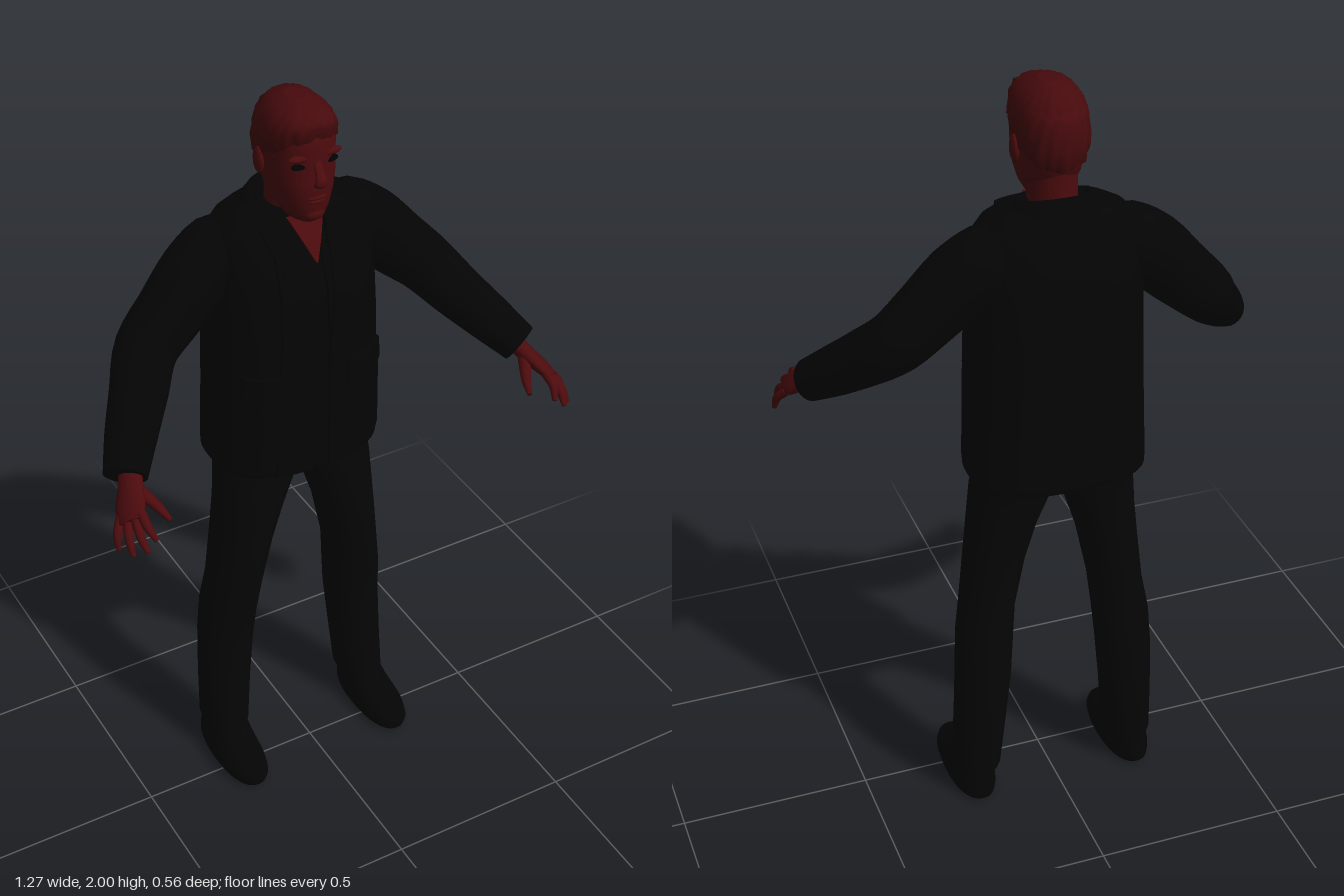
import * as THREE from 'three';

const paint = (name, color) => {
  const m = new THREE.MeshStandardMaterial({ color });
  m.name = name;
  return m;
};
const V = (p) => new THREE.Vector3(...p);
const lerp = THREE.MathUtils.lerp;

// Skin a list of equal-length closed rings, capping both ends.
function loft(rings) {
  const n = rings[0].length, pos = [], idx = [];
  rings.forEach((r) => r.forEach((p) => pos.push(p.x, p.y, p.z)));
  for (let i = 0; i < rings.length - 1; i++) {
    for (let j = 0; j < n; j++) {
      const a = i * n + j, b = i * n + (j + 1) % n;
      idx.push(a, a + n, b, b, a + n, b + n);
    }
  }
  [rings[0], rings[rings.length - 1]].forEach((r, end) => {
    const c = r.reduce((s, p) => s.add(p), new THREE.Vector3()).divideScalar(n);
    const base = pos.length / 3;
    r.forEach((p) => pos.push(p.x, p.y, p.z));
    pos.push(c.x, c.y, c.z);
    for (let j = 0; j < n; j++) {
      const a = base + j, b = base + (j + 1) % n;
      idx.push(base + n, end ? b : a, end ? a : b);
    }
  });
  const g = new THREE.BufferGeometry();
  g.setAttribute('position', new THREE.Float32BufferAttribute(pos, 3));
  g.setIndex(idx);
  g.computeVertexNormals();
  return g;
}

// Stacked level rings from rows [y, centre x, half width, front z, back z].
function stack(rows, power = 2.3, seg = 40, warp = null) {
  return loft(rows.map(([y, cx, rx, zf, zb]) => Array.from({ length: seg }, (_, j) => {
    const a = (j / seg) * Math.PI * 2, c = Math.cos(a), s = Math.sin(a);
    const p = V([cx + rx * Math.sign(c) * Math.abs(c) ** (2 / power), y,
      (zf + zb) / 2 + (zf - zb) / 2 * Math.sign(s) * Math.abs(s) ** (2 / power)]);
    if (warp) warp(p, a);
    return p;
  })));
}

// Tube along points with [half width along hint, half thickness] at each point.
function limb(points, sizes, hint, steps = 20, seg = 24) {
  const curve = new THREE.CatmullRomCurve3(points.map(V));
  const rings = [];
  for (let i = 0; i <= steps; i++) {
    const t = i / steps, f = t * (sizes.length - 1), k = Math.min(Math.floor(f), sizes.length - 2);
    const w = lerp(sizes[k][0], sizes[k + 1][0], f - k), h = lerp(sizes[k][1], sizes[k + 1][1], f - k);
    const c = curve.getPoint(t), d = curve.getTangent(t);
    const u = V(hint).addScaledVector(d, -V(hint).dot(d)).normalize(), v = u.clone().cross(d);
    rings.push(Array.from({ length: seg }, (_, j) => {
      const a = (j / seg) * Math.PI * 2;
      return c.clone().addScaledVector(u, w * Math.cos(a)).addScaledVector(v, h * Math.sin(a));
    }));
  }
  return loft(rings);
}

function mirrored(g) {
  const m = g.clone().scale(-1, 1, 1), ix = m.index.array;
  for (let i = 0; i < ix.length; i += 3) [ix[i], ix[i + 1]] = [ix[i + 1], ix[i]];
  m.computeVertexNormals();
  return m;
}

const ball = (x, y, z, a, b, c) => new THREE.SphereGeometry(1, 20, 14).scale(a, b, c).translate(x, y, z);

// Jacket body profile
const BODY = [
  [1.0, 0, 0.226, 0.05, -0.279], [1.02, 0, 0.227, 0.054, -0.279], [1.2, 0, 0.221, 0.058, -0.275],
  [1.4, 0, 0.214, 0.06, -0.278], [1.53, 0, 0.21, 0.05, -0.276], [1.6, 0, 0.206, 0.022, -0.257],
  [1.65, 0, 0.196, -0.002, -0.237], [1.68, 0, 0.178, -0.02, -0.222], [1.7, 0, 0.14, -0.032, -0.21],
  [1.715, 0, 0.09, -0.05, -0.19],
];
const BODY_POWER = 2.7;

function bodyFront(x, y) {
  let k = 0;
  while (k < BODY.length - 2 && BODY[k + 1][0] < y) k++;
  const t = THREE.MathUtils.clamp((y - BODY[k][0]) / (BODY[k + 1][0] - BODY[k][0]), 0, 1);
  const [, , rx, zf, zb] = BODY[k].map((v, i) => lerp(v, BODY[k + 1][i], t));
  return (zf + zb) / 2 + (zf - zb) / 2 * Math.max(0, 1 - Math.abs(x / rx) ** BODY_POWER) ** (1 / BODY_POWER);
}

// Cloth panel following the jacket front; edges given at bottom and top.
function panel(y0, y1, [l0, r0], [l1, r1], thick) {
  const g = new THREE.BoxGeometry(1, 1, thick * 2, 8, 14, 1), p = g.attributes.position;
  for (let i = 0; i < p.count; i++) {
    const t = p.getY(i) + 0.5, y = lerp(y0, y1, t);
    const x = lerp(lerp(l0, l1, t), lerp(r0, r1, t), p.getX(i) + 0.5);
    p.setXYZ(i, x, y, bodyFront(x, y) + p.getZ(i));
  }
  g.computeVertexNormals();
  return g;
}

export function createModel() {
  const skin = paint('skin', 0x4c0b0d), hairMat = paint('hair', 0x460a0c);
  const cloth = paint('jacket cloth', 0x040404), trouser = paint('trouser cloth', 0x050505);
  const shoeMat = paint('shoe leather', 0x040404), dark = paint('eye black', 0x030202);
  const model = new THREE.Group();
  const add = (name, g, m) => {
    const mesh = new THREE.Mesh(g, m);
    mesh.name = name;
    model.add(mesh);
  };
  const pair = (name, g, m) => {
    add('left ' + name, g, m);
    add('right ' + name, mirrored(g), m);
  };

  // Head and face
  add('head', stack([
    [1.7, 0, 0.026, 0.012, -0.07], [1.712, 0, 0.045, 0.028, -0.1], [1.74, 0, 0.062, 0.036, -0.135],
    [1.78, 0, 0.076, 0.041, -0.16], [1.82, 0, 0.083, 0.043, -0.174], [1.86, 0, 0.086, 0.038, -0.184],
    [1.9, 0, 0.087, 0.042, -0.188], [1.94, 0, 0.083, 0.035, -0.183], [1.97, 0, 0.066, 0.012, -0.158],
    [1.985, 0, 0.04, -0.02, -0.12],
  ], 2.15), skin);
  add('neck', stack([
    [1.6, 0, 0.08, -0.03, -0.175], [1.67, 0, 0.066, -0.036, -0.168],
    [1.72, 0, 0.06, -0.036, -0.163], [1.8, 0, 0.06, -0.03, -0.165],
  ], 2), skin);
  add('nose', limb([[0, 1.872, 0.034], [0, 1.845, 0.048], [0, 1.822, 0.056], [0, 1.81, 0.038]],
    [[0.01, 0.005], [0.012, 0.008], [0.017, 0.01], [0.012, 0.006]], [1, 0, 0], 12, 14), skin);
  add('upper lip', ball(0, 1.778, 0.036, 0.026, 0.006, 0.009), skin);
  add('lower lip', ball(0, 1.767, 0.034, 0.022, 0.007, 0.009), skin);
  add('chin', ball(0, 1.73, 0.02, 0.028, 0.02, 0.018), skin);
  pair('brow', ball(0.036, 1.884, 0.024, 0.034, 0.01, 0.013), skin);
  pair('eye', ball(0.038, 1.863, 0.023, 0.024, 0.009, 0.01), dark);
  pair('ear', ball(0.088, 1.842, -0.085, 0.011, 0.034, 0.021), skin);

  // Hair: short curly cap blending into the nape, higher at the brow
  add('hair', stack([
    [1.865, 0, 0.076, 0.03, -0.168], [1.885, 0, 0.088, 0.041, -0.187], [1.915, 0, 0.09, 0.043, -0.193],
    [1.935, 0, 0.087, 0.043, -0.192], [1.955, 0, 0.081, 0.036, -0.185], [1.972, 0, 0.069, 0.02, -0.17],
    [1.988, 0, 0.05, -0.005, -0.14], [1.997, 0, 0.022, -0.04, -0.1],
  ], 2.2, 80, (p, a) => {
    const k = THREE.MathUtils.clamp((1.99 - p.y) / 0.1, 0, 1);
    const wave = 1 + 0.018 * Math.sin(a * 11 + p.y * 160) + 0.018 * Math.sin(a * 19 - p.y * 230);
    p.x *= wave;
    p.z = -0.07 + (p.z + 0.07) * wave;
    p.y += k * (p.z + 0.03) * (p.z < -0.03 ? 0.45 : 0.75) + 0.003 * Math.sin(a * 9) * k;
  }), hairMat);

  // Jacket body with a turned-up hem, collar, lapels, front flaps and pockets
  add('jacket body', stack([
    [1.07, 0, 0.21, 0.034, -0.262], [1.0, 0, 0.219, 0.043, -0.271], ...BODY,
  ], BODY_POWER, 56), cloth);
  add('collar', stack([
    [1.655, 0, 0.165, 0.0, -0.225], [1.69, 0, 0.132, -0.005, -0.212], [1.72, 0, 0.106, -0.012, -0.2],
    [1.735, 0, 0.094, -0.018, -0.188], [1.732, 0, 0.08, -0.024, -0.176], [1.68, 0, 0.072, -0.03, -0.165],
  ], 2.1, 44, (p) => { p.y -= 0.33 * (p.z + 0.15) + (p.z > -0.06 ? 0.4 * (p.z + 0.06) : 0); }), cloth);
  add('open neck skin', panel(1.6, 1.7, [-0.002, 0.002], [-0.046, 0.046], 0.016), skin);
  pair('front flap', panel(1.005, 1.62, [0.022, 0.12], [0.018, 0.1], 0.01), cloth);
  pair('lapel', panel(1.4, 1.69, [0.022, 0.03], [0.046, 0.12], 0.016), cloth);
  pair('hip pocket', panel(1.05, 1.29, [0.07, 0.19], [0.075, 0.188], 0.011), cloth);
  pair('pocket flap', panel(1.25, 1.31, [0.066, 0.195], [0.07, 0.19], 0.016), cloth);

  // Sleeves, sharply bent at the elbow
  pair('sleeve', limb([
    [0.1, 1.6, -0.135], [0.175, 1.59, -0.138], [0.24, 1.548, -0.13], [0.315, 1.475, -0.119],
    [0.391, 1.402, -0.103], [0.448, 1.335, -0.035], [0.505, 1.274, 0.035], [0.556, 1.219, 0.104],
  ], [[0.07, 0.07], [0.09, 0.093], [0.087, 0.094], [0.081, 0.086], [0.077, 0.078], [0.073, 0.07],
    [0.066, 0.062], [0.056, 0.052]], [0, 0, 1], 28, 28), cloth);

  // Hands: palm, four fingers and thumb
  const spread = V([0.07, -0.05, -0.08]).normalize();
  pair('palm', limb([[0.535, 1.236, 0.085], [0.556, 1.208, 0.13], [0.577, 1.184, 0.17], [0.591, 1.165, 0.205]],
    [[0.03, 0.024], [0.033, 0.022], [0.042, 0.019], [0.037, 0.013]], spread.toArray(), 12, 18), skin);
  const tips = [[0.558, 1.142, 0.27], [0.585, 1.12, 0.277], [0.612, 1.104, 0.252], [0.629, 1.098, 0.207]];
  tips.forEach((tip, i) => {
    const root = V([0.585, 1.173, 0.19]).addScaledVector(spread, -0.03 + i * 0.02);
    const mid = root.clone().lerp(V(tip), 0.55).add(V([0.006, 0.006, 0.002]));
    pair('finger ' + (i + 1), limb([root.toArray(), mid.toArray(), tip],
      [[0.012, 0.012], [0.0115, 0.0115], [0.01, 0.01], [0.006, 0.006]], [1, 0, -0.6], 10, 12), skin);
  });
  pair('thumb', limb([[0.55, 1.205, 0.14], [0.522, 1.18, 0.188], [0.505, 1.157, 0.234]],
    [[0.02, 0.018], [0.015, 0.014], [0.012, 0.011], [0.006, 0.006]], [1, 0, 0.3], 10, 12), skin);

  // Trousers: seat joining two legs
  add('trouser seat', stack([
    [0.935, 0, 0.04, -0.03, -0.17], [0.955, 0, 0.12, -0.01, -0.2], [0.985, 0, 0.19, 0.0, -0.222],
    [1.03, 0, 0.207, 0.01, -0.24], [1.075, 0, 0.207, 0.02, -0.25],
  ], 2.5), trouser);
  pair('trouser leg', stack([
    [1.03, 0.1, 0.105, 0.0, -0.235], [0.96, 0.102, 0.106, 0.006, -0.215], [0.93, 0.112, 0.1, 0.008, -0.207],
    [0.85, 0.132, 0.086, 0.007, -0.198], [0.75, 0.153, 0.075, 0.002, -0.193], [0.6, 0.177, 0.068, -0.01, -0.189],
    [0.5, 0.19, 0.072, -0.026, -0.198], [0.4, 0.197, 0.071, -0.038, -0.203], [0.25, 0.207, 0.066, -0.036, -0.198],
    [0.1, 0.216, 0.061, -0.028, -0.188], [0.085, 0.216, 0.056, -0.034, -0.182],
  ].reverse(), 2.3, 36), trouser);

  // Shoes
  pair('shoe', stack([
    [0, 0.223, 0.05, 0.095, -0.178], [0.008, 0.223, 0.059, 0.11, -0.188], [0.025, 0.223, 0.063, 0.116, -0.19],
    [0.045, 0.223, 0.061, 0.106, -0.188], [0.062, 0.222, 0.056, 0.08, -0.185], [0.08, 0.22, 0.052, 0.035, -0.183],
    [0.105, 0.218, 0.05, -0.025, -0.18], [0.15, 0.216, 0.046, -0.045, -0.175],
  ], 2.3, 36), shoeMat);

  return model;
}
